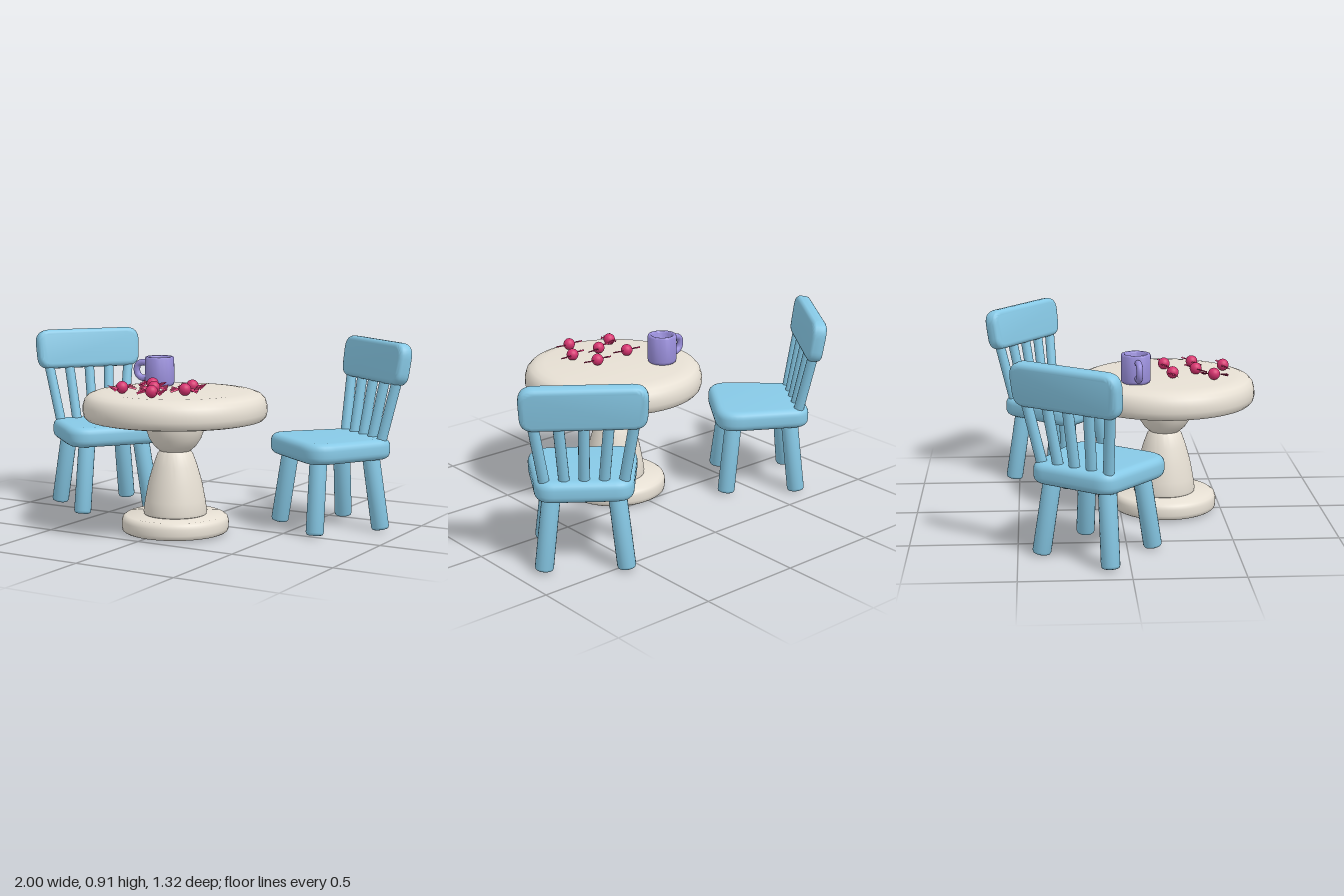
import * as THREE from 'three';
import { toCreasedNormals } from 'three/addons/utils/BufferGeometryUtils.js';

const V2 = (x, y) => new THREE.Vector2(x, y);
const V3 = (x, y, z) => new THREE.Vector3(x, y, z);
const paint = (color) => new THREE.MeshStandardMaterial({ color });

function add(parent, name, geometry, material) {
  const mesh = new THREE.Mesh(geometry, material);
  mesh.name = name;
  parent.add(mesh);
  return mesh;
}

// Polygon with softened corners; each corner is [x, y, cut]
function softShape(corners) {
  const shape = new THREE.Shape();
  const n = corners.length;
  corners.forEach(([x, y, cut], i) => {
    const p = V2(x, y);
    const toward = (c) => V2(c[0], c[1]).sub(p).setLength(cut).add(p);
    const a = toward(corners[(i + n - 1) % n]);
    const b = toward(corners[(i + 1) % n]);
    if (i === 0) shape.moveTo(a.x, a.y);
    else shape.lineTo(a.x, a.y);
    shape.quadraticCurveTo(x, y, b.x, b.y);
  });
  shape.closePath();
  return shape;
}

// Rounded slab, thickness centred on z = 0
function slab(shape, thickness, bevel) {
  const depth = thickness - 2 * bevel;
  const g = new THREE.ExtrudeGeometry(shape, {
    depth, bevelThickness: bevel, bevelSize: bevel, bevelOffset: -bevel,
    bevelSegments: 5, curveSegments: 8,
  });
  g.translate(0, 0, -depth / 2);
  return toCreasedNormals(g, 0.7);
}

// Rod with rounded ends between two points
function rod(parent, name, from, to, radius, material) {
  const dir = to.clone().sub(from);
  const g = new THREE.CapsuleGeometry(radius, dir.length() - 2 * radius, 4, 16);
  const mesh = add(parent, name, g, material);
  mesh.position.copy(from).add(to).multiplyScalar(0.5);
  mesh.quaternion.setFromUnitVectors(V3(0, 1, 0), dir.normalize());
}

// Rod with flat, slightly rounded ends, for the legs
function leg(parent, from, to, material) {
  const dir = to.clone().sub(from);
  const len = dir.length();
  const profile = [V2(0, 0), V2(0.03, 0), V2(0.039, 0.004), V2(0.043, 0.014), V2(0.042, len), V2(0, len)];
  const g = toCreasedNormals(new THREE.LatheGeometry(profile, 20), 0.9);
  const mesh = add(parent, 'chairLeg', g, material);
  mesh.position.copy(from);
  mesh.quaternion.setFromUnitVectors(V3(0, 1, 0), dir.normalize());
}

function createChair(material) {
  const chair = new THREE.Group();
  const seatShape = softShape([
    [-0.215, -0.235, 0.08], [0.215, -0.235, 0.08], [0.265, 0.235, 0.13], [-0.265, 0.235, 0.13],
  ]);
  const seat = add(chair, 'seat', slab(seatShape, 0.1, 0.035), material);
  seat.rotation.x = Math.PI / 2;
  seat.position.y = 0.395;

  for (const sx of [-1, 1]) for (const sz of [-1, 1]) {
    leg(chair, V3(sx * 0.187, 0.005, sz * 0.178), V3(sx * 0.145, 0.37, sz * 0.14), material);
  }

  // Spindles fan outward and lean back
  for (let i = -2; i <= 2; i++) {
    rod(chair, 'backSpindle', V3(i * 0.087, 0.41, -0.175), V3(i * 0.113, 0.76, -0.24), 0.025, material);
  }

  const railShape = softShape([
    [-0.275, -0.102, 0.06], [0.275, -0.102, 0.06], [0.285, 0.102, 0.075], [-0.285, 0.102, 0.075],
  ]);
  const rail = add(chair, 'backRail', slab(railShape, 0.072, 0.024), material);
  rail.position.set(0, 0.803, -0.245);
  rail.rotation.x = -0.14;
  return chair;
}

function createTable(material) {
  const table = new THREE.Group();
  const parts = {
    tableBase: [[0, 0.008], [0.245, 0.008], [0.253, 0.014], [0.256, 0.03], [0.256, 0.06], [0.25, 0.078], [0.235, 0.088], [0, 0.092]],
    pedestal: [[0, 0.085], [0.138, 0.085], [0.15, 0.092], [0.152, 0.105], [0.144, 0.16], [0.128, 0.245], [0.105, 0.325], [0.085, 0.38], [0.074, 0.395], [0, 0.4]],
    pedestalBowl: [[0, 0.39], [0.07, 0.392], [0.1, 0.418], [0.124, 0.455], [0.138, 0.495], [0.144, 0.55], [0, 0.55]],
    tableTop: [[0, 0.544], [0.4, 0.544], [0.42, 0.549], [0.432, 0.562], [0.438, 0.585], [0.437, 0.615], [0.428, 0.645], [0.41, 0.664], [0.38, 0.675], [0.34, 0.68], [0, 0.681]],
  };
  for (const [name, points] of Object.entries(parts)) {
    const g = new THREE.LatheGeometry(points.map(([r, y]) => V2(r, y)), 64);
    add(table, name, toCreasedNormals(g, 0.75), material);
  }
  return table;
}

function createMug(material) {
  const mug = new THREE.Group();
  const profile = [
    [0, 0], [0.062, 0], [0.069, 0.006], [0.071, 0.015], [0.071, 0.132], [0.068, 0.139],
    [0.062, 0.141], [0.055, 0.139], [0.052, 0.132], [0.052, 0.03], [0.045, 0.022], [0, 0.02],
  ].map(([r, y]) => V2(r, y));
  add(mug, 'mugBody', toCreasedNormals(new THREE.LatheGeometry(profile, 40), 0.9), material);
  const path = new THREE.CatmullRomCurve3([
    V3(-0.06, 0.105, 0), V3(-0.095, 0.108, 0), V3(-0.12, 0.095, 0), V3(-0.126, 0.068, 0),
    V3(-0.118, 0.045, 0), V3(-0.095, 0.031, 0), V3(-0.06, 0.034, 0),
  ]);
  add(mug, 'mugHandle', new THREE.TubeGeometry(path, 28, 0.016, 12), material);
  return mug;
}

// Pleated fan opening along +x
function wrapperFan() {
  const g = new THREE.PlaneGeometry(1, 1, 3, 8);
  const p = g.attributes.position;
  for (let i = 0; i < p.count; i++) {
    const t = p.getX(i) + 0.5;
    const s = p.getY(i) * 2;
    const pleat = Math.round((s + 1) * 4) % 2 ? 1 : -1;
    p.setXYZ(i, 0.022 + t * (0.042 + pleat * 0.004), pleat * 0.004 * t, s * (0.007 + 0.023 * t));
  }
  return toCreasedNormals(g, 0.3);
}

function createCandy(material, wrapMaterial) {
  const candy = new THREE.Group();
  add(candy, 'candyBall', new THREE.SphereGeometry(0.029, 20, 14), material);
  for (const turn of [0, Math.PI]) {
    const fan = add(candy, 'candyWrapperEnd', wrapperFan(), wrapMaterial);
    fan.rotation.set(0.35, turn, 0);
  }
  return candy;
}

export function createModel() {
  const model = new THREE.Group();
  model.name = 'tableSet';

  const table = createTable(paint(0xe6dfd3));
  table.name = 'table';
  table.position.set(0.033, 0, 0.222);
  model.add(table);

  const blue = paint(0x87c9e6);
  for (const [name, x, z, turn] of [['rightChair', -0.616, -0.137, 0.944], ['leftChair', 0.611, -0.274, -0.635]]) {
    const chair = createChair(blue);
    chair.name = name;
    chair.position.set(x, 0, z);
    chair.rotation.y = turn;
    model.add(chair);
  }

  const mug = createMug(paint(0x9a8fdb));
  mug.name = 'mug';
  mug.position.set(-0.15, 0.68, 0.067);
  mug.rotation.y = 0.08;
  model.add(mug);

  // Candies: x, z, turn
  const pink = paint(0xd6336f);
  const pinkWrap = paint(0xd6336f);
  pinkWrap.side = THREE.DoubleSide;
  const spots = [
    [-0.075, 0.25, -0.06], [0.13, 0.225, 0], [0.008, 0.37, 0.45],
    [0.175, 0.367, 0.35], [-0.12, 0.445, 1.2], [0.085, 0.512, 0.03],
  ];
  for (const [x, z, turn] of spots) {
    const candy = createCandy(pink, pinkWrap);
    candy.name = 'candy';
    candy.position.set(x, 0.71, z);
    candy.rotation.y = turn;
    model.add(candy);
  }
  return model;
}
